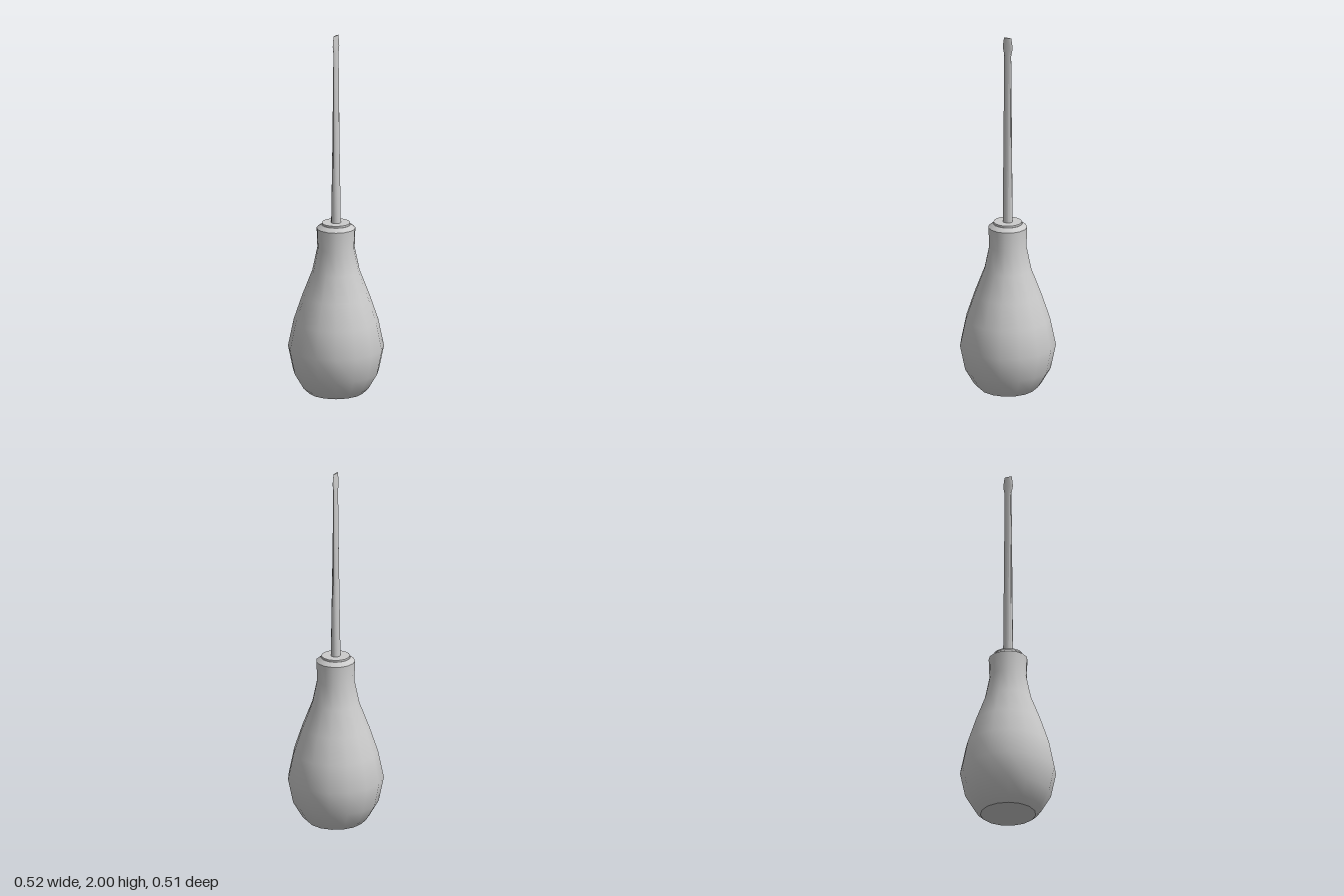
import * as THREE from 'three';
import { toCreasedNormals } from 'three/addons/utils/BufferGeometryUtils.js';

export function createModel() {
  const group = new THREE.Group();
  const material = new THREE.MeshStandardMaterial({ color: 0xcccccc });

  const turned = (profile, sides) => new THREE.LatheGeometry(
    profile.map(([r, y]) => new THREE.Vector2(r, y)), sides, Math.PI);

  const add = (name, geometry) => {
    const mesh = new THREE.Mesh(toCreasedNormals(geometry, 0.6), material);
    mesh.name = name;
    group.add(mesh);
  };

  // Pear-shaped handle with a flat butt and a chamfered neck
  add('handle', turned([
    [0, 0], [0.15, 0], [0.182, 0.03], [0.232, 0.115], [0.26, 0.25],
    [0.229, 0.4], [0.182, 0.54], [0.128, 0.68], [0.101, 0.81],
    [0.105, 0.92], [0.08, 0.94], [0, 0.94],
  ], 15));

  // Thin collar where the blade enters the handle
  add('collar', turned([[0, 0.93], [0.077, 0.93], [0.077, 0.95], [0, 0.95]], 15));

  // Shaft: round at the collar, flattened towards the tip [y, half width x, half width z]
  const sections = [
    [0.94, 0.026, 0.027], [1.9, 0.008, 0.021], [1.94, 0.007, 0.029],
    [1.96, 0.006, 0.028], [2, 0.004, 0.022],
  ];
  const shaft = turned([...sections.map(([y]) => [1, y]), [0, 2]], 12);
  const position = shaft.attributes.position;
  for (let i = 0; i < position.count; i++) {
    const [, hx, hz] = sections.find(([y]) => Math.abs(y - position.getY(i)) < 1e-4);
    position.setX(i, position.getX(i) * hx);
    position.setZ(i, position.getZ(i) * hz);
  }
  add('shaft', shaft);

  return group;
}
